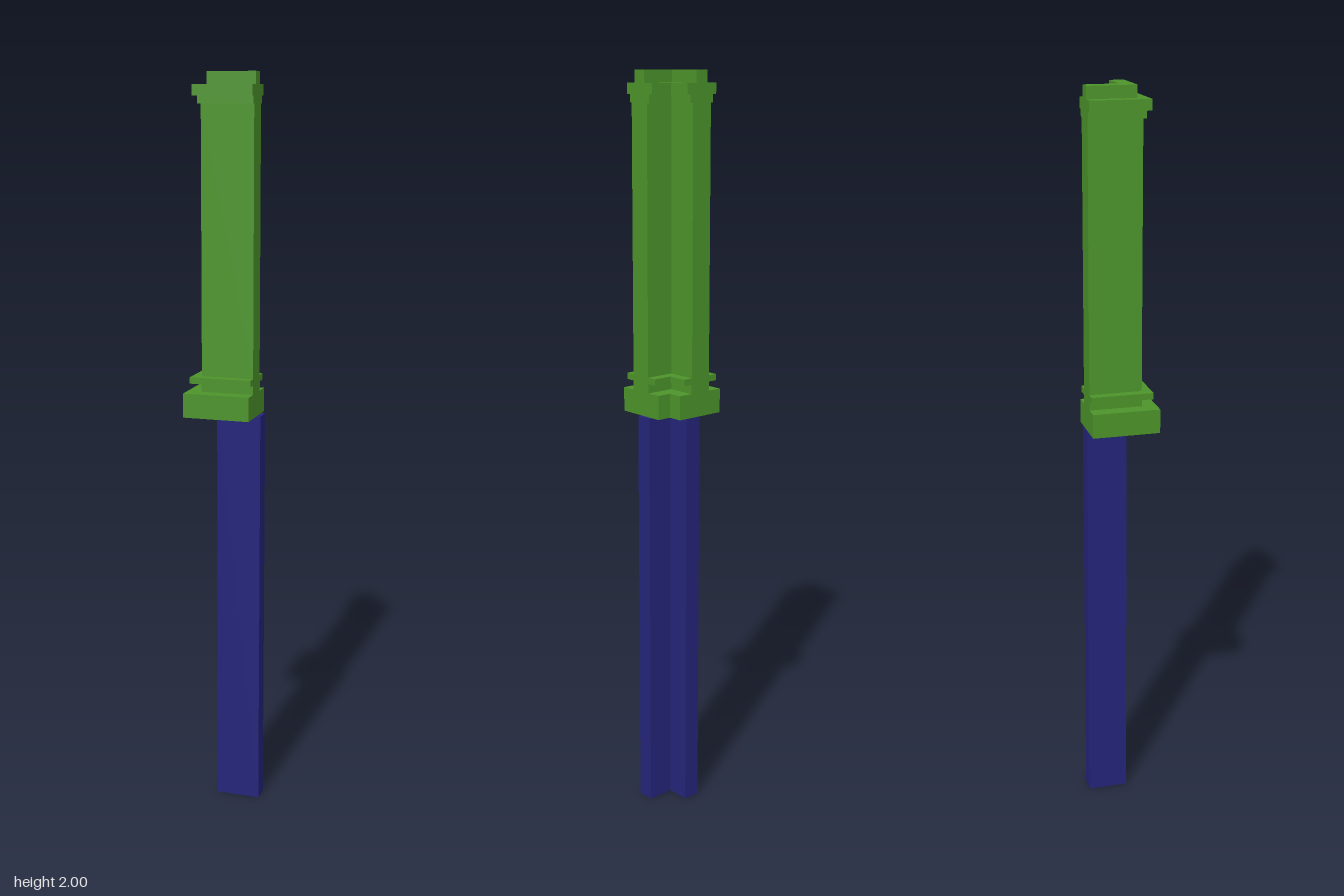
import * as THREE from 'three';

const green = new THREE.MeshStandardMaterial({ color: 0x4c942a });
const navy = new THREE.MeshStandardMaterial({ color: 0x24247a });

// L-shaped corner section: one arm runs to +x, the other to -z.
// x0/x1 bound the back-running arm, z0/z1 the side arm (z0 is the outer face).
function corner(name, material, y0, y1, x0, x1, z0, z1, endX, endZ) {
  const shape = new THREE.Shape([
    [x0, -z0], [endX, -z0], [endX, -z1], [x1, -z1], [x1, -endZ], [x0, -endZ],
  ].map(([x, y]) => new THREE.Vector2(x, y)));
  const geometry = new THREE.ExtrudeGeometry(shape, { depth: y1 - y0, bevelEnabled: false });
  geometry.rotateX(-Math.PI / 2);
  geometry.translate(0, y0, 0);
  const mesh = new THREE.Mesh(geometry, material);
  mesh.name = name;
  return mesh;
}

export function createModel() {
  const group = new THREE.Group();
  group.name = 'cornerPillar';

  // Plain lower post
  group.add(corner('lowerPost', navy, 0, 1.11, -0.025, 0.022, 0.018, -0.028, 0.096, -0.091));

  // Upper pillar tiers, each symmetric about the corner's diagonal
  const tiers = [
    ['plinth', 1.11, 1.175, -0.097, 0.045],
    ['baseNeck', 1.175, 1.2, -0.058, 0.005],
    ['baseRing', 1.2, 1.217, -0.0825, 0.0305],
    ['shaft', 1.217, 1.92, -0.057, 0.003],
    ['capitalNeck', 1.92, 1.94, -0.064, 0.012],
    ['capitalLedge', 1.94, 1.968, -0.075, 0.023],
    ['topCap', 1.968, 2, -0.045, -0.007],
  ];
  for (const [name, y0, y1, outer, inner] of tiers) {
    group.add(corner(name, green, y0, y1, outer, inner, -outer - 0.007, -inner - 0.007, 0.085, -0.092));
  }
  return group;
}
